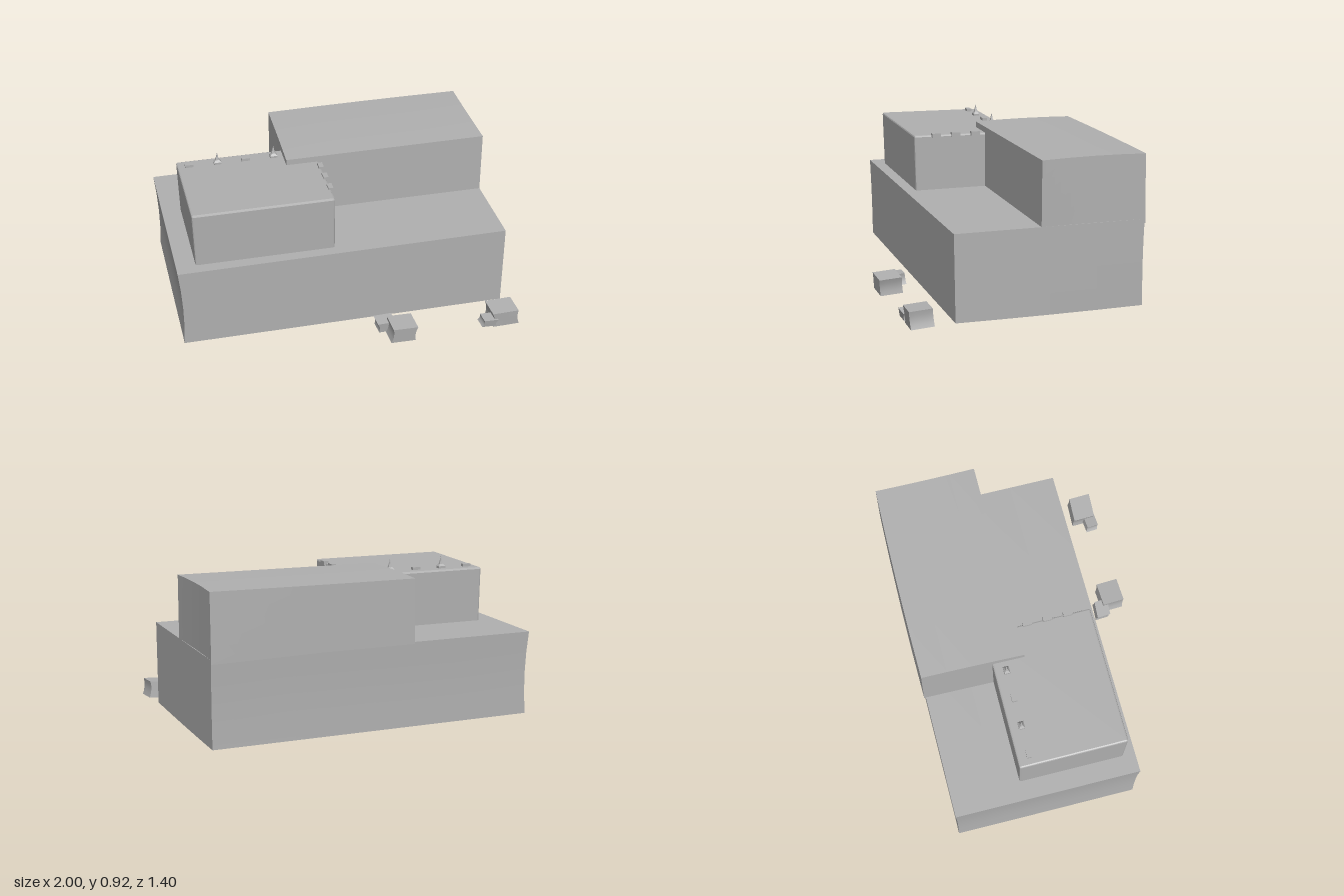
import * as THREE from 'three';
import { RoundedBoxGeometry } from 'three/addons/geometries/RoundedBoxGeometry.js';

const concrete = new THREE.MeshStandardMaterial({ color: 0xb0b0b0 });
concrete.name = 'concrete grey';

export function createModel() {
  const group = new THREE.Group();

  const add = (name, geometry, parent = group) => {
    const mesh = new THREE.Mesh(geometry, concrete);
    mesh.name = name;
    parent.add(mesh);
    return mesh;
  };

  // Moves the vertices by a rule; u holds the place in the box, -1 to 1 on each axis
  const warp = (geometry, min, max, rule) => {
    const pos = geometry.attributes.position;
    const v = new THREE.Vector3();
    const u = new THREE.Vector3();
    const size = new THREE.Vector3(...max).sub(new THREE.Vector3(...min));
    for (let i = 0; i < pos.count; i++) {
      v.fromBufferAttribute(pos, i);
      u.copy(v).divide(size).multiplyScalar(2);
      v.add(new THREE.Vector3((min[0] + max[0]) / 2, (min[1] + max[1]) / 2, (min[2] + max[2]) / 2));
      if (rule) rule(v, u);
      pos.setXYZ(i, v.x, v.y, v.z);
    }
    geometry.computeVertexNormals();
    return geometry;
  };
  const sizes = (min, max) => max.map((m, i) => m - min[i]);
  const block = (name, min, max, rule, parent) => {
    const geometry = new THREE.BoxGeometry(...sizes(min, max), 4, 4, 4);
    return add(name, warp(geometry, min, max, rule), parent);
  };

  // Broad base with slightly hollow ends
  block('base', [-0.99, 0.02, -0.685], [0.97, 0.52, 0.42], (v, u) => {
    if (u.x < 0) v.x += -u.x * (0.012 * (1 - u.y * u.y) - 0.007 * u.y);
    v.z -= 0.005 * u.x;
    if (u.z > 0) v.z += 0.004 * u.y * u.z;
    else v.z += 0.005 * (1 - u.y * u.y) * -u.z;
    if (u.y < 0) v.y -= 0.004 * u.x + 0.003 * (1 - u.z * u.z);
  });

  // Tall rear block with a softly crowned roof
  block('rearBlock', [-0.25, 0.51, -0.69], [0.97, 0.89, -0.08], (v, u) => {
    if (u.y > 0) v.y += u.y * (0.005 * (1 - u.z * u.z) + 0.003 * u.x - 0.001 * u.z);
    else if (u.z < 0) v.y -= 0.014 * u.y * u.z * Math.max(0, u.x);
    if (u.z < 0) v.z += 0.007 * u.z * (1 - u.x * u.x) + 0.004 * u.y;
    if (u.x < 0) v.x -= 0.005 * u.z;
    else v.x -= 0.005 * u.x * (1 - u.z * u.z);
  });

  // Smaller front block with bevelled edges
  const lowMin = [-0.89, 0.51, -0.27], lowMax = [-0.06, 0.857, 0.365];
  const rounded = new RoundedBoxGeometry(...sizes(lowMin, lowMax), 1, 0.01);
  add('frontBlock', warp(rounded, lowMin, lowMax, (v, u) => {
    if (u.x < 0) v.x -= 0.004 * (u.y - 1);
    if (u.z > 0) v.z += 0.004 * (u.y - 1);
    if (u.y > 0) v.y += 0.004 * (u.z - 1);
  }));

  // Roof pads along the back and the side edge
  for (const x of [-0.82, -0.48]) {
    block('backRoofPad', [x - 0.025, 0.84, -0.215], [x + 0.025, 0.866, -0.186]);
  }
  for (const z of [0.23, 0.107, -0.015]) {
    block('sideRoofPad', [-0.076, 0.84, z - 0.027], [-0.046, 0.866, z + 0.027]);
  }

  // Four-sided roof spikes with a flared foot
  const profile = [[0.031, 0], [0.031, 0.014], [0.016, 0.027], [0.008, 0.048], [0, 0.078]]
    .map(([r, y]) => new THREE.Vector2(r, y));
  for (const x of [-0.65, -0.31]) {
    const geometry = new THREE.LatheGeometry(profile, 4).toNonIndexed();
    geometry.rotateY(Math.PI / 4);
    geometry.computeVertexNormals();
    geometry.scale(1, 1, 0.8);
    add('roofSpike', geometry).position.set(x, 0.848, -0.2);
  }

  // Fallen rubble: pairs of skewed stones on the ground
  const stone = (min, max, k, parent) => block('stone', min, max, (v, u) => {
    v.x += 0.005 * u.y * k + 0.004 * u.z;
    v.y -= 0.004 * u.x * k + 0.003 * u.z;
    v.z += 0.004 * u.y - 0.003 * u.x * k;
    v.x -= 0.008 * u.x * (1 - u.y * u.y);
  }, parent);
  const piles = [
    [[0.205, 0.015, 0.555], [0.355, 0.113, 0.69], [0.148, 0.03, 0.505], [0.255, 0.095, 0.59], 1],
    [[0.835, 0.012, 0.535], [0.992, 0.112, 0.67], [0.77, 0.025, 0.605], [0.86, 0.072, 0.677], -1],
  ];
  for (const [bigMin, bigMax, smallMin, smallMax, k] of piles) {
    const pile = new THREE.Group();
    pile.name = 'rubblePile';
    stone(bigMin, bigMax, k, pile);
    stone(smallMin, smallMax, -k, pile);
    group.add(pile);
  }

  return group;
}
